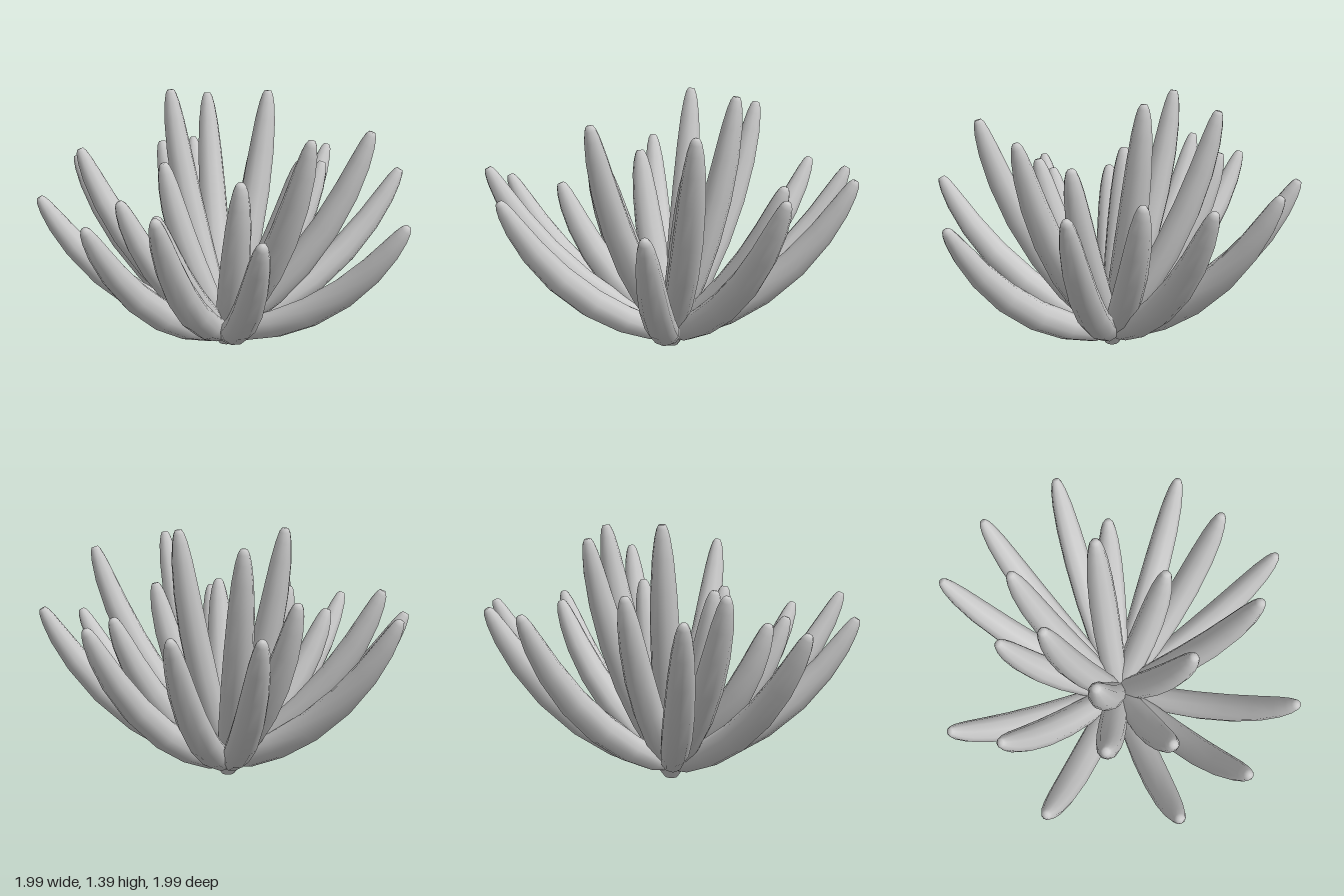
import * as THREE from 'three';
import { mergeVertices } from 'three/addons/utils/BufferGeometryUtils.js';

const material = new THREE.MeshStandardMaterial({ color: 0xcccccc });

// Tip of every leaf: x, y, z
const outerTips = [
  [0.98, 0.96, 0], [-0.98, 0.89, -0.03], [-0.02, 0.97, -0.98], [-0.02, 0.9, 0.98],
  [0.38, 0.97, -0.91], [0.75, 0.97, -0.63], [-0.76, 0.97, -0.62], [-0.75, 1.07, -0.34],
  [0.79, 0.83, 0.64], [-0.78, 0.9, 0.6], [-0.48, 1.0, 0.85], [0.7, 1.24, 0.31],
];
const innerTips = [
  [0.62, 0.95, -0.28], [0.29, 1.28, 0.64], [-0.43, 0.89, 0.45], [-0.58, 0.89, 0.14],
  [-0.27, 1.05, -0.55], [0, 1.32, -0.56], [0.28, 1.38, -0.22], [-0.25, 1.39, -0.29],
  [-0.33, 1.05, 0], [0.38, 1.06, 0.13], [0, 1.03, 0.41],
];

// Leaf thickness along its length: [position, radius]
const profile = [
  [0, 0], [0.005, 0.035], [0.1, 0.064], [0.25, 0.076], [0.42, 0.08], [0.6, 0.077],
  [0.76, 0.068], [0.88, 0.055], [0.95, 0.041], [0.985, 0.029], [1, 0.018], [1, 0],
];

// A fleshy leaf that leaves the centre low, then bends up to its tip
function leaf(tip, name) {
  const end = new THREE.Vector3(...tip);
  const start = new THREE.Vector3(0, 0.07, 0);
  const reach = Math.hypot(end.x, end.z);
  const out = new THREE.Vector3(end.x / reach, 0, end.z / reach);
  const rise = end.y - start.y;
  const bend = 0.27 * reach / Math.hypot(reach, rise);
  const control = start.clone().lerp(end, 0.5).addScaledVector(out, bend * rise);
  control.y -= bend * reach;
  const curve = new THREE.QuadraticBezierCurve3(start, control, end);

  const sides = 10;
  const rings = profile.length - 1;
  const geometry = new THREE.TubeGeometry(curve, rings, 1, sides);
  const pos = geometry.attributes.position;
  const v = new THREE.Vector3();
  profile.forEach(([u, radius], i) => {
    const from = curve.getPointAt(i / rings);
    const to = curve.getPointAt(u);
    for (let j = 0; j <= sides; j++) {
      const k = i * (sides + 1) + j;
      v.fromBufferAttribute(pos, k).sub(from).multiplyScalar(radius).add(to);
      pos.setXYZ(k, v.x, v.y, v.z);
    }
  });
  // Weld the seam so the leaf is smooth all round
  geometry.deleteAttribute('uv');
  geometry.deleteAttribute('normal');
  const smooth = mergeVertices(geometry, 1e-5);
  smooth.computeVertexNormals();
  const mesh = new THREE.Mesh(smooth, material);
  mesh.name = name;
  return mesh;
}

export function createModel() {
  const model = new THREE.Group();
  model.name = 'succulentPlant';

  const outer = new THREE.Group();
  outer.name = 'outerLeaves';
  outerTips.forEach((tip, i) => outer.add(leaf(tip, `outerLeaf${i + 1}`)));

  const inner = new THREE.Group();
  inner.name = 'innerLeaves';
  innerTips.forEach((tip, i) => inner.add(leaf(tip, `innerLeaf${i + 1}`)));

  // Small root knob where the leaves meet
  const root = new THREE.Mesh(new THREE.CylinderGeometry(0.08, 0.035, 0.06, 10), material);
  root.position.y = 0.03;
  root.name = 'root';

  model.add(outer, inner, root);
  return model;
}
